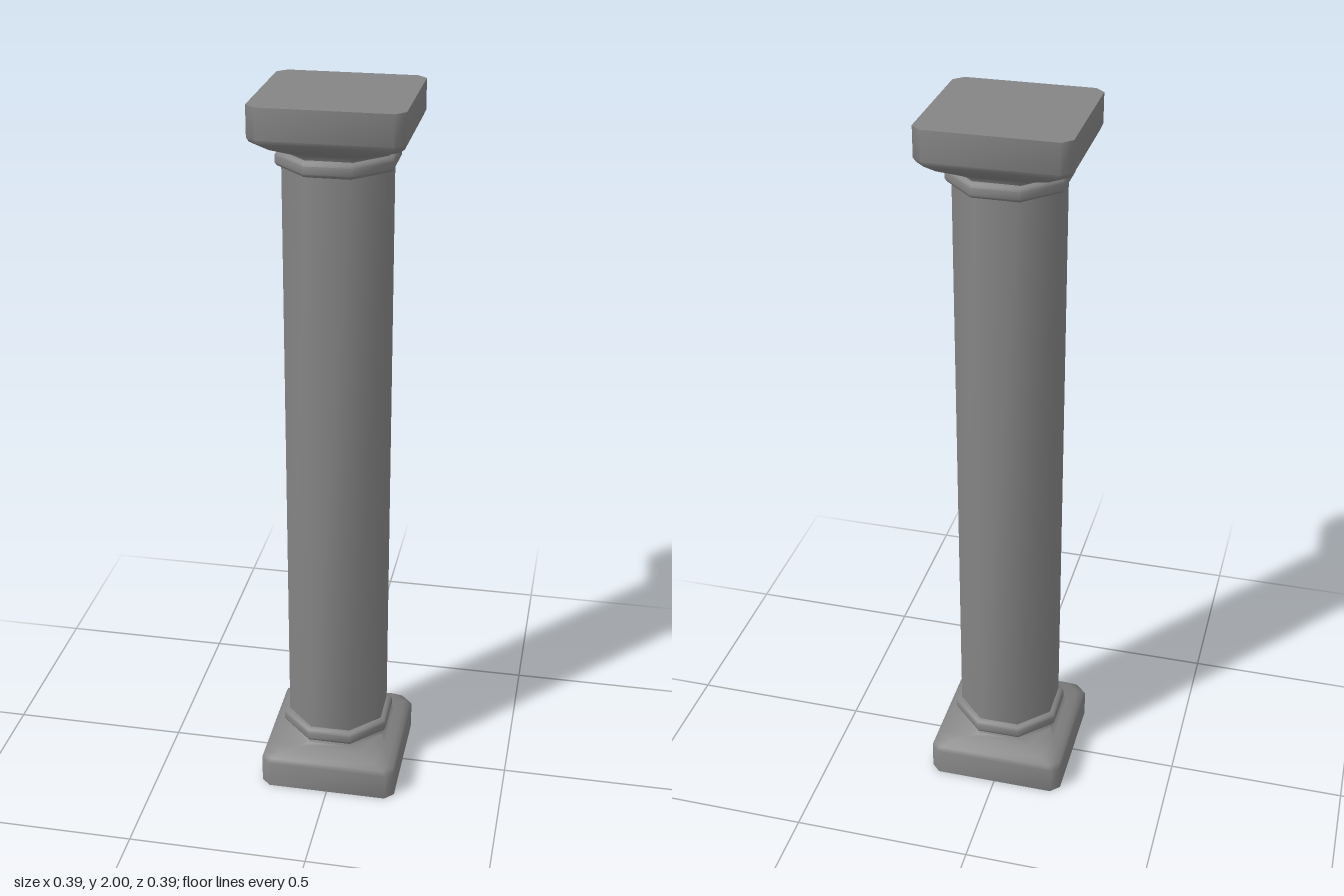
import * as THREE from 'three';
import { toCreasedNormals } from 'three/addons/utils/BufferGeometryUtils.js';

const OCT = Math.tan(Math.PI / 8); // corner ratio of a regular octagon
const HEIGHT = 2;

// Lofts eight-sided rings, bottom to top. Each section is [y, halfWidth, halfFlat].
function loft(name, sections, material) {
  const pos = [], idx = [];
  for (const [y, h, k = h * OCT] of sections) {
    const ring = [[h, -k], [h, k], [k, h], [-k, h], [-h, k], [-h, -k], [-k, -h], [k, -h]];
    for (const [x, z] of ring) pos.push(x, y, z);
  }
  const last = (sections.length - 1) * 8;
  for (let r = 0; r < last; r += 8) {
    for (let i = 0; i < 8; i++) {
      const j = (i + 1) % 8;
      const a = r + i, b = r + j, c = a + 8, d = b + 8;
      idx.push(a, c, b, b, c, d);
    }
  }
  // End caps
  for (let i = 1; i < 7; i++) {
    idx.push(0, i, i + 1);
    idx.push(last, last + i + 1, last + i);
  }
  const geometry = new THREE.BufferGeometry();
  geometry.setAttribute('position', new THREE.Float32BufferAttribute(pos, 3));
  geometry.setIndex(idx);
  const mesh = new THREE.Mesh(toCreasedNormals(geometry, THREE.MathUtils.degToRad(50)), material);
  mesh.name = name;
  return mesh;
}

// Flips a section list upside down for the top end
const flip = (sections) => sections.map(([y, ...rest]) => [HEIGHT - y, ...rest]).reverse();

export function createModel() {
  const group = new THREE.Group();
  group.name = 'column';
  const material = new THREE.MeshStandardMaterial({ color: 0x858585 });

  // Chamfered square block easing into an octagonal neck
  const block = [
    [0, 0.195, 0.17],
    [0.08, 0.195, 0.17],
    [0.092, 0.19, 0.163],
    [0.107, 0.175, 0.138],
    [0.12, 0.154, 0.095],
    [0.13, 0.14, 0.062],
    [0.145, 0.136],
  ];
  // Raised octagonal band
  const band = [
    [0.136, 0.134],
    [0.143, 0.146],
    [0.15, 0.15],
    [0.17, 0.15],
    [0.177, 0.146],
    [0.182, 0.134],
  ];

  group.add(
    loft('base', block, material),
    loft('baseBand', band, material),
    loft('shaft', [[0.14, 0.135], [HEIGHT - 0.14, 0.135]], material),
    loft('capitalBand', flip(band), material),
    loft('capital', flip(block), material),
  );
  return group;
}
